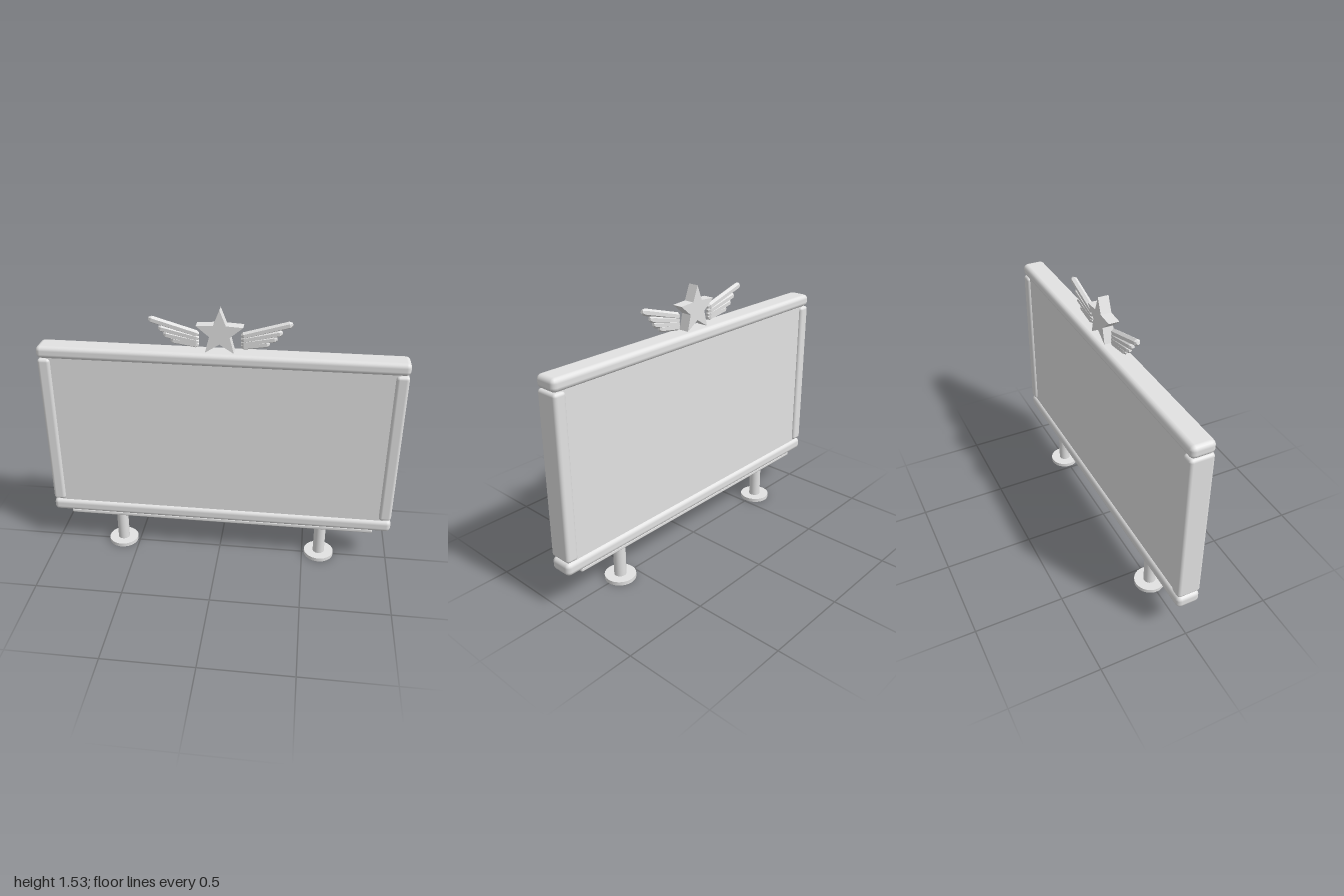
import * as THREE from 'three';
import { RoundedBoxGeometry } from 'three/addons/geometries/RoundedBoxGeometry.js';

// Six-sided bar along x with tapered ends and ridges at top and bottom
function featherGeometry(length, radius) {
  const h = length / 2, taper = 0.014;
  const profile = [[0, -h], [radius * 0.5, -h], [radius, -h + taper], [radius, h - taper], [radius * 0.5, h], [0, h]]
    .map(([x, y]) => new THREE.Vector2(x, y));
  const geometry = new THREE.LatheGeometry(profile, 6)
    .rotateY(Math.PI / 2).rotateZ(-Math.PI / 2).toNonIndexed();
  geometry.computeVertexNormals();
  return geometry;
}

export function createModel() {
  const group = new THREE.Group();
  const lightGrey = new THREE.MeshStandardMaterial({ color: 0xe2e2e2 });
  lightGrey.name = 'lightGrey';

  const add = (name, geometry, x = 0, y = 0, z = 0) => {
    const mesh = new THREE.Mesh(geometry, lightGrey);
    mesh.name = name;
    mesh.position.set(x, y, z);
    group.add(mesh);
    return mesh;
  };

  // Display panel and its rounded frame
  add('panel', new THREE.BoxGeometry(1.9, 0.96, 0.1), 0, 0.762, 0);
  add('topBeam', new RoundedBoxGeometry(2, 0.071, 0.132, 2, 0.026), 0, 1.255, 0);
  add('bottomBeam', new RoundedBoxGeometry(2, 0.074, 0.132, 2, 0.026), 0, 0.267, 0);
  add('lowerStrip', new RoundedBoxGeometry(1.8, 0.026, 0.094, 2, 0.009), 0, 0.217, 0);

  for (const side of [-1, 1]) {
    add('sidePost', new RoundedBoxGeometry(0.07, 0.91, 0.132, 2, 0.018), side * 0.962, 0.763, 0);

    // Stand legs on round feet
    add('leg', new THREE.CylinderGeometry(0.034, 0.034, 0.2, 24), side * 0.6, 0.11, 0);
    add('foot', new THREE.CylinderGeometry(0.087, 0.087, 0.022, 32), side * 0.6, 0.011, 0);

    // Wing feathers, shorter and flatter towards the bottom: [inner y, tip x, tip y]
    const feathers = [
      [1.379, 0.379, 1.457],
      [1.357, 0.328, 1.408],
      [1.337, 0.302, 1.374],
      [1.321, 0.264, 1.344],
    ];
    for (const [innerY, tipX, tipY] of feathers) {
      const innerX = 0.113;
      const dx = tipX - innerX, dy = tipY - innerY;
      const feather = add('wingFeather', featherGeometry(Math.hypot(dx, dy), 0.019),
        side * (innerX + tipX) / 2, (innerY + tipY) / 2, 0);
      feather.rotation.z = side * Math.atan2(dy, dx);
    }
  }

  // Five-pointed star standing on the top beam
  const star = new THREE.Shape();
  for (let i = 0; i < 10; i++) {
    const r = i % 2 ? 0.057 : 0.131;
    const a = Math.PI / 2 + i * Math.PI / 5;
    star[i ? 'lineTo' : 'moveTo'](r * Math.cos(a), r * Math.sin(a));
  }
  star.closePath();
  add('star', new THREE.ExtrudeGeometry(star, { depth: 0.06, bevelEnabled: false }), 0, 1.395, -0.03);

  return group;
}
